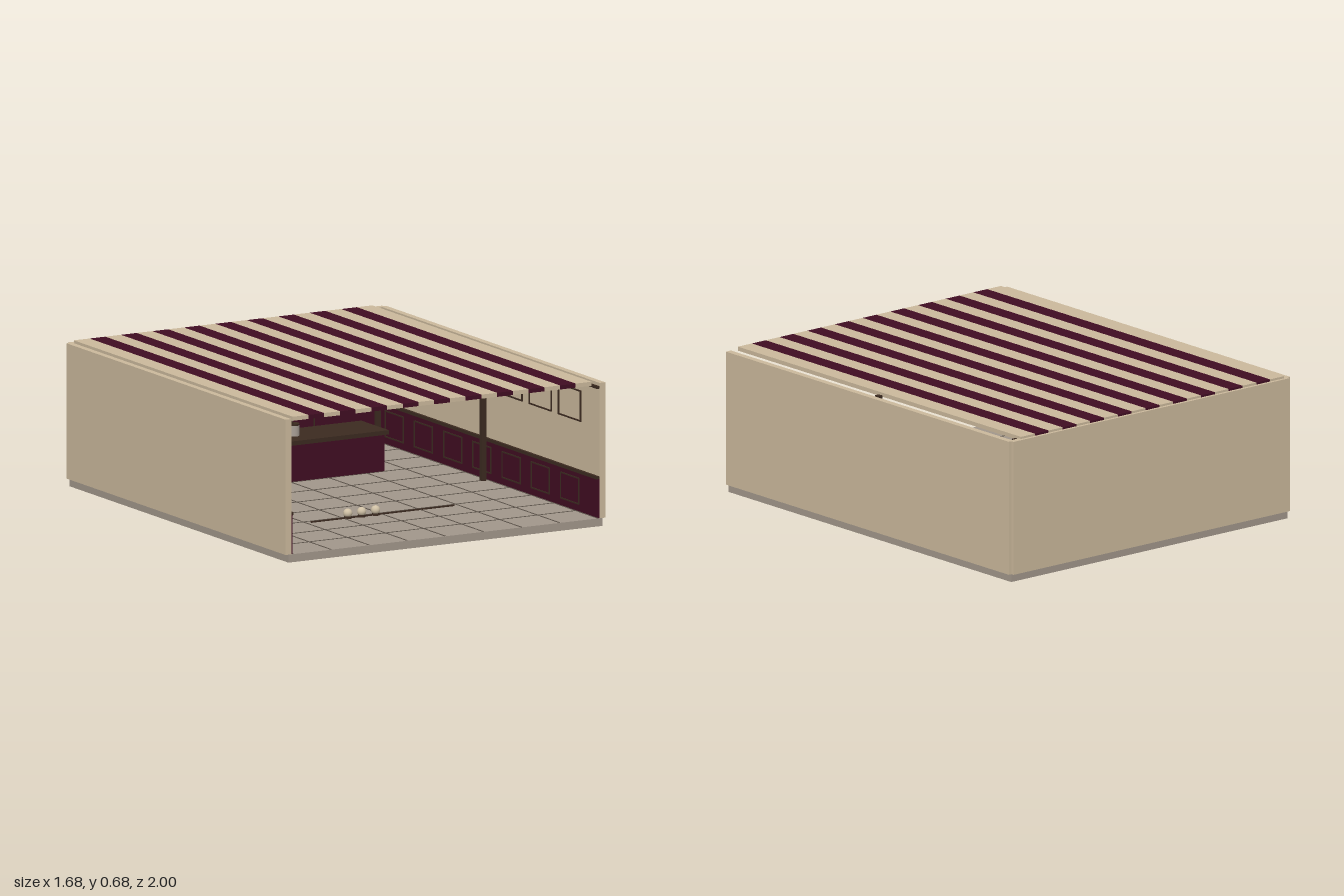
import * as THREE from 'three';

const mat = (name, color) => Object.assign(new THREE.MeshStandardMaterial({ color }), { name });

export function createModel() {
  const model = new THREE.Group();
  model.name = 'shopRoom';
  const cream = mat('cream plaster', 0xcab89b);
  const burgundy = mat('burgundy', 0x400d22);
  const stone = mat('floor stone', 0xa1968a);
  const grout = mat('grout', 0x5f564d);
  const wood = mat('dark wood', 0x3b2a20);
  const ceramic = mat('ceramic', 0xcfc0a5);
  const tin = mat('tin', 0xa89e95);

  const add = (parent, name, geo, m, x = 0, y = 0, z = 0) => {
    const mesh = new THREE.Mesh(geo, m);
    mesh.name = name;
    mesh.position.set(x, y, z);
    parent.add(mesh);
    return mesh;
  };
  // box given by its limits on each axis
  const box = (parent, name, m, x0, x1, y0, y1, z0, z1) =>
    add(parent, name, new THREE.BoxGeometry(x1 - x0, y1 - y0, z1 - z0), m,
      (x0 + x1) / 2, (y0 + y1) / 2, (z0 + z1) / 2);
  const group = (name, parent = model) => {
    const g = new THREE.Group();
    g.name = name;
    parent.add(g);
    return g;
  };

  // floor with tile joints
  box(model, 'floorSlab', stone, -0.825, 0.825, 0, 0.037, -0.985, 1);
  const joints = group('tileJoints');
  for (let i = -4; i <= 4; i++) {
    if (Math.abs(i) < 5) box(joints, 'jointAlong', grout, i * 0.2 - 0.003, i * 0.2 + 0.003, 0.036, 0.039, -0.97, 0.998);
    box(joints, 'jointAcross', grout, -0.81, 0.81, 0.036, 0.039, i * 0.2 - 0.003, i * 0.2 + 0.003);
  }

  // outer walls
  for (const s of [-1, 1]) {
    const x = s * 0.825;
    box(model, 'sideWall', cream, x - 0.015, x + 0.015, 0.037, 0.665, -0.985, 1);
  }
  box(model, 'backWall', cream, -0.825, 0.825, 0.037, 0.665, -1, -0.97);

  // rectangular moulding, built facing +z
  const frame = (parent, x0, x1, y0, y1, z) => {
    const t = 0.006;
    const f = group('mouldingFrame', parent);
    box(f, 'frameBottom', wood, x0, x1, y0, y0 + t, z, z + t);
    box(f, 'frameTop', wood, x0, x1, y1 - t, y1, z, z + t);
    box(f, 'frameLeft', wood, x0, x0 + t, y0, y1, z, z + t);
    box(f, 'frameRight', wood, x1 - t, x1, y0, y1, z, z + t);
  };

  // wall panelling: wainscot, rails and frames on a wall running along x at z = 0
  const panelling = (name, half, starts) => {
    const g = group(name);
    box(g, 'wainscot', burgundy, -half, half, 0.037, 0.22, 0, 0.008);
    box(g, 'chairRail', wood, -half, half, 0.217, 0.231, 0, 0.014);
    box(g, 'crownRail', wood, -half, half, 0.638, 0.65, 0, 0.014);
    for (const s of starts) {
      frame(g, s, s + 0.205, 0.455, 0.6, 0);
      frame(g, s + 0.03, s + 0.2, 0.07, 0.195, 0.006);
    }
    return g;
  };
  const run = (from, count) => Array.from({ length: count }, (_, i) => from + i * 0.265);
  panelling('backPanelling', 0.81, run(-0.81, 5)).position.z = -0.97;
  const left = panelling('rightPanelling', 0.984, run(-0.9, 7));
  left.rotation.y = Math.PI / 2;
  left.position.set(-0.81, 0, 0.014);
  const right = panelling('leftPanelling', 0.984, run(-0.975, 7));
  right.rotation.y = -Math.PI / 2;
  right.position.set(0.81, 0, 0.014);

  // posts
  for (const s of [-1, 1]) {
    for (const z of [-0.958, 0]) {
      box(model, 'post', wood, s * 0.777 - 0.012, s * 0.777 + 0.012, 0.037, 0.662, z - 0.012, z + 0.012);
    }
  }

  // striped roof
  const roof = group('stripedRoof');
  for (let i = 0; i < 19; i++) {
    const x = -0.8025 + i * 0.0826;
    box(roof, 'roofStripe', i % 2 ? burgundy : cream, x, x + 0.0826, 0.656, 0.675, -0.985, 1);
  }

  // counter
  const counter = group('counter');
  box(counter, 'counterBody', burgundy, -0.495, 0.49, 0.037, 0.21, -0.62, -0.4);
  box(counter, 'counterTop', wood, -0.51, 0.505, 0.21, 0.23, -0.635, -0.385);

  // pyramid of tins
  const tins = group('tinPyramid');
  const tinGeo = new THREE.CylinderGeometry(0.028, 0.028, 0.05, 20);
  const lidGeo = new THREE.CylinderGeometry(0.029, 0.029, 0.008, 20);
  for (let row = 0; row < 3; row++) {
    for (let i = 0; i < 3 - row; i++) {
      const x = (i - (2 - row) / 2) * 0.069;
      const y = 0.23 + row * 0.0585;
      const dark = row === 2 || (row === 1 ? i === 0 : i === 1);
      add(tins, 'tin', tinGeo, dark ? burgundy : tin, x, y + 0.025, -0.5);
      add(tins, 'tinLid', lidGeo, wood, x, y + 0.053, -0.5);
    }
  }

  // wall shelves with egg-shaped jars
  const jarGeo = new THREE.SphereGeometry(0.032, 24, 16).scale(1, 1.3, 1);
  for (const s of [-1, 1]) {
    const shelf = group('wallShelf');
    box(shelf, 'shelfBoard', wood, s * 0.61 - 0.097, s * 0.61 + 0.097, 0.27, 0.285, -0.97, -0.86);
    for (const dx of [-0.049, 0.049]) add(shelf, 'jar', jarGeo, ceramic, s * 0.61 + dx, 0.327, -0.915);
  }

  // pendant lamps
  for (const s of [-1, 1]) {
    const lamp = group('pendantLamp');
    lamp.position.set(s * 0.461, 0, -0.45);
    add(lamp, 'lampRod', new THREE.CylinderGeometry(0.004, 0.004, 0.06, 10), wood, 0, 0.628, 0);
    add(lamp, 'lampShade', new THREE.CylinderGeometry(0.042, 0.036, 0.018, 24), wood, 0, 0.59, 0);
  }

  // low strip on the floor with three small balls
  box(model, 'floorStrip', wood, -0.377, 0.377, 0.037, 0.043, 0.425, 0.433);
  for (const x of [-0.183, -0.11, -0.037]) {
    add(model, 'ballBase', new THREE.CylinderGeometry(0.016, 0.018, 0.012, 16), wood, x, 0.043, 0.43);
    add(model, 'ball', new THREE.SphereGeometry(0.021, 20, 14), ceramic, x, 0.062, 0.43);
  }
  return model;
}
